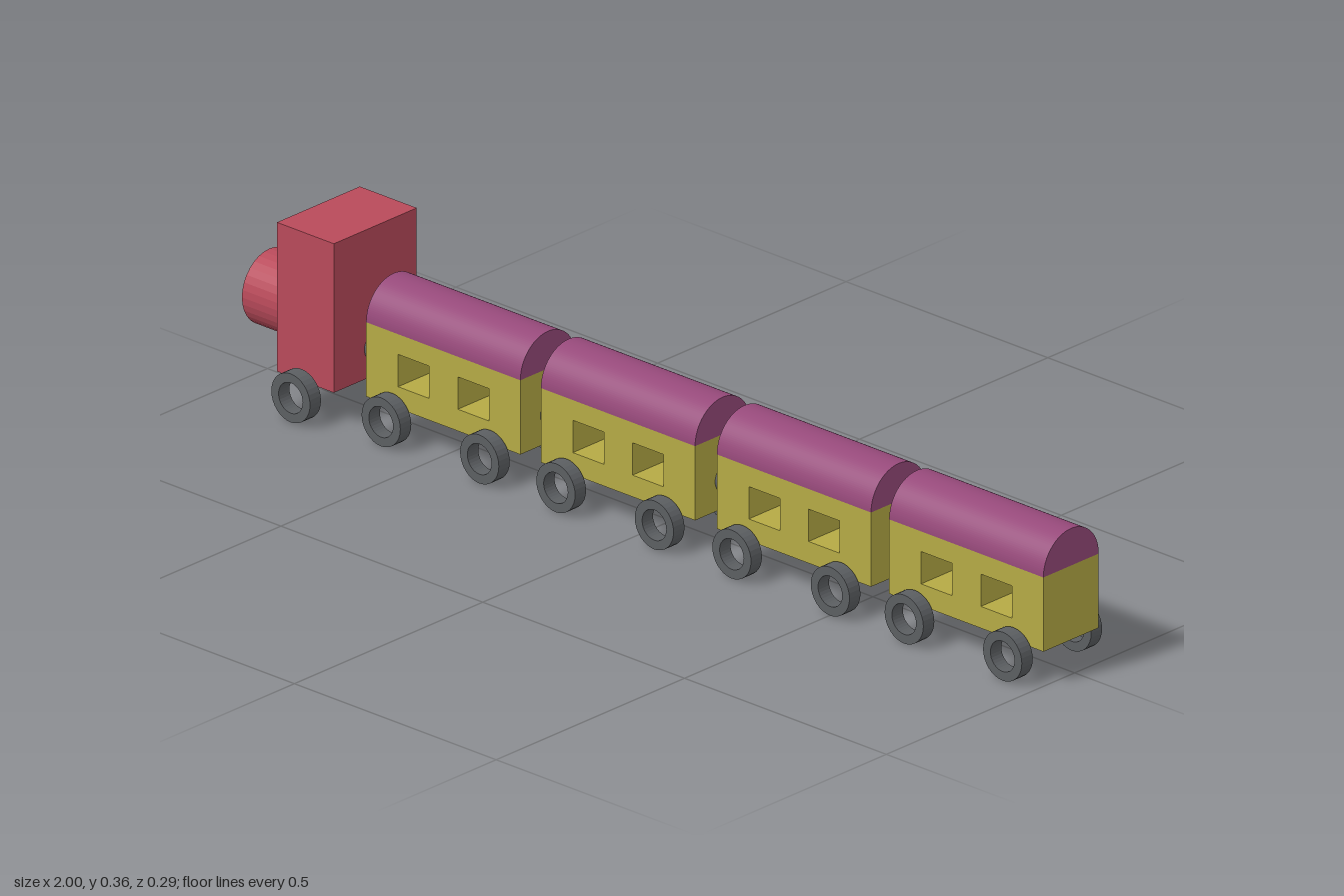
import * as THREE from 'three';

const paint = (color) => new THREE.MeshStandardMaterial({ color, flatShading: true });
const red = paint(0xb84a5a);
const yellow = paint(0xb5aa45);
const purple = paint(0x96497a);
const grey = paint(0x5c5f62);

function add(parent, name, geometry, material, x, y, z) {
  const mesh = new THREE.Mesh(geometry, material);
  mesh.name = name;
  mesh.position.set(x, y, z);
  parent.add(mesh);
  return mesh;
}

// Rectangular path, used for the window openings
function rectPath(x0, y0, x1, y1) {
  return new THREE.Path([[x0, y0], [x0, y1], [x1, y1], [x1, y0]].map((p) => new THREE.Vector2(...p)));
}

// Extrusion along z, centred on z = 0
function slab(shape, depth, curveSegments) {
  return new THREE.ExtrudeGeometry(shape, { depth, bevelEnabled: false, curveSegments })
    .translate(0, 0, -depth / 2);
}

// Cylinder lying along x
function rod(radius, length) {
  return new THREE.CylinderGeometry(radius, radius, length, 32).rotateZ(Math.PI / 2);
}

const CAR_LENGTH = 0.382, CAR_WIDTH = 0.147, CAR_Z = 0.0085;
const FLOOR = 0.068, EAVES = 0.215, WHEEL_R = 0.048;

export function createModel() {
  const train = new THREE.Group();
  train.name = 'train';

  // Open ring wheel
  const ring = new THREE.Shape().absarc(0, 0, WHEEL_R, 0, Math.PI * 2);
  ring.holes.push(new THREE.Path().absarc(0, 0, 0.03, 0, Math.PI * 2, true));
  const wheelGeo = slab(ring, 0.029, 16);

  // Carriage body with two windows cut right through
  const wall = new THREE.Shape([
    new THREE.Vector2(0, FLOOR), new THREE.Vector2(CAR_LENGTH, FLOOR),
    new THREE.Vector2(CAR_LENGTH, EAVES), new THREE.Vector2(0, EAVES),
  ]);
  for (const x of [0.079, 0.227]) wall.holes.push(rectPath(x, 0.111, x + 0.077, 0.175));
  const bodyGeo = slab(wall, CAR_WIDTH, 1);

  // Half-round roof running along x
  const arch = new THREE.Shape().absarc(0, 0, CAR_WIDTH / 2, 0, Math.PI);
  const roofGeo = slab(arch, CAR_LENGTH, 32).rotateY(Math.PI / 2);

  // Engine
  const engine = new THREE.Group();
  engine.name = 'engine';
  train.add(engine);
  add(engine, 'cab', new THREE.BoxGeometry(0.141, 0.295, 0.22), red, -0.8035, 0.2155, 0);
  add(engine, 'boiler', rod(0.073, 0.126), red, -0.937, 0.163, -0.005);
  for (const z of [0.133, -0.132]) add(engine, 'engineWheel', wheelGeo, grey, -0.805, WHEEL_R, z);

  // Carriages, each coupled to the vehicle ahead
  let previousEnd = -0.733;
  for (const start of [-0.679, -0.246, 0.19, 0.617]) {
    const car = new THREE.Group();
    car.name = 'carriage';
    car.position.x = start;
    train.add(car);
    add(car, 'carriageBody', bodyGeo, yellow, 0, 0, CAR_Z);
    add(car, 'roof', roofGeo, purple, CAR_LENGTH / 2, EAVES, CAR_Z);
    for (const [x, z] of [[0.067, 0.1], [0.078, -0.084], [0.311, 0.1], [0.311, -0.084]]) {
      add(car, 'carriageWheel', wheelGeo, grey, x, WHEEL_R, z);
    }
    const gap = start - previousEnd;
    add(car, 'coupling', rod(0.027, gap), grey, -gap / 2, 0.127, 0.002);
    previousEnd = start + CAR_LENGTH;
  }
  return train;
}
